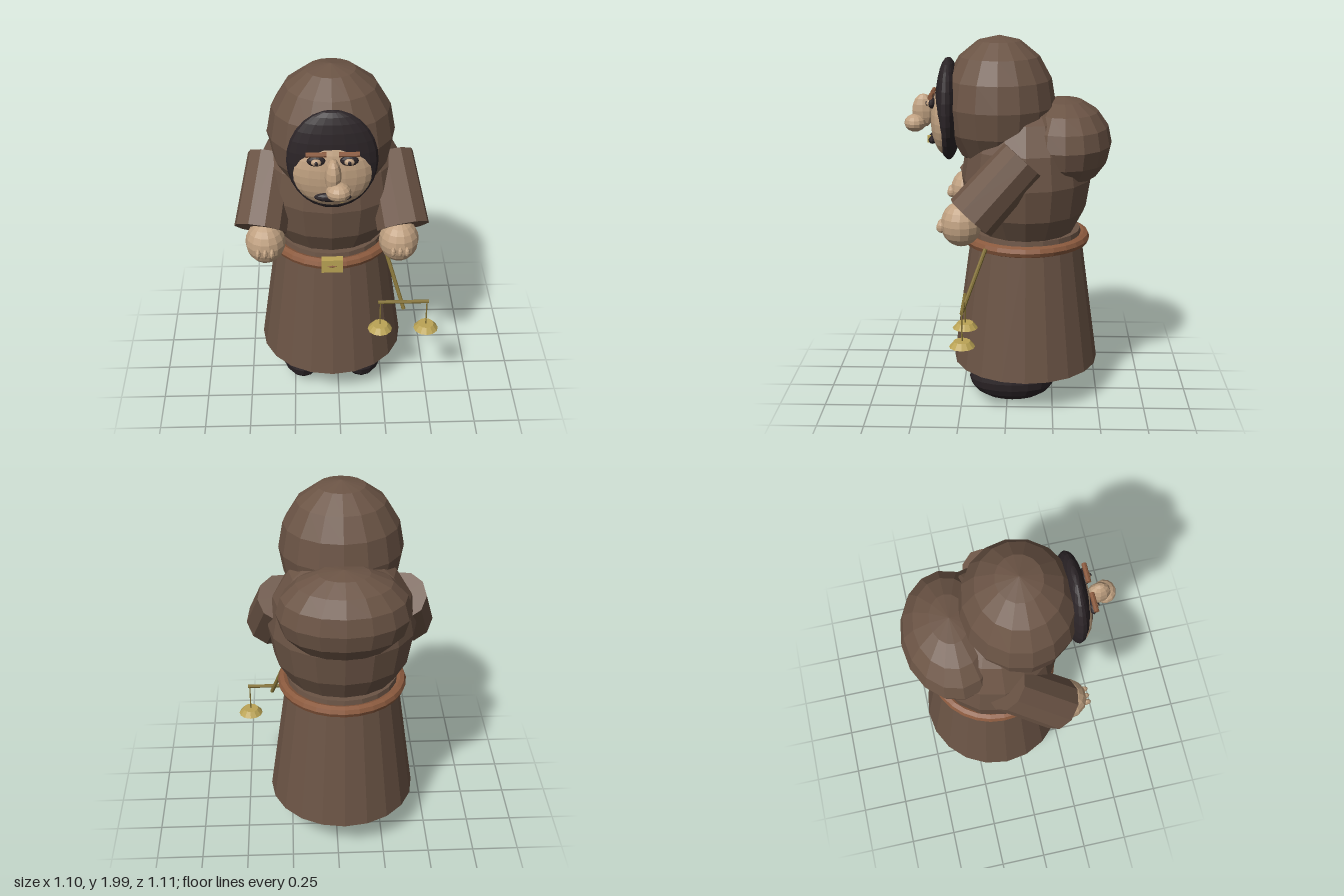
import * as THREE from 'three';

const mat = (name, color) => {
  const m = new THREE.MeshStandardMaterial({ color, flatShading: true });
  m.name = name;
  return m;
};

export function createModel() {
  const root = new THREE.Group();
  root.name = 'hoodedFigure';
  const cloth = mat('brown cloth', 0x6b5445);
  const skin = mat('skin', 0xc0a181);
  const black = mat('soft black', 0x2b2427);
  const leather = mat('leather', 0x8b5a3e);
  const gold = mat('gold', 0xbba455);
  const bronze = mat('dark gold', 0x857338);
  const CX = -0.035; // body axis

  const add = (name, geo, material, x, y, z) => {
    const m = new THREE.Mesh(geo, material);
    m.name = name;
    m.position.set(x, y, z);
    root.add(m);
    return m;
  };
  // Ellipsoid with centre and radii
  const blob = (name, material, [x, y, z], [rx, ry, rz], w = 16, h = 8) =>
    add(name, new THREE.SphereGeometry(1, w, h).scale(rx, ry, rz), material, x, y, z);
  // Straight rod from a to b, radius ra at a and rb at b
  const rod = (name, material, a, b, ra, rb = ra, sides = 8) => {
    const p = new THREE.Vector3(...a), q = new THREE.Vector3(...b);
    const d = q.clone().sub(p);
    const mid = p.clone().add(q).multiplyScalar(0.5);
    const m = add(name, new THREE.CylinderGeometry(rb, ra, d.length(), sides), material, mid.x, mid.y, mid.z);
    m.quaternion.setFromUnitVectors(new THREE.Vector3(0, 1, 0), d.normalize());
    return m;
  };

  // Robe, torso, hump and hood
  add('skirt', new THREE.CylinderGeometry(0.295, 0.4, 0.76, 20), cloth, CX, 0.58, -0.1);
  blob('torso', cloth, [CX, 1.25, -0.1], [0.39, 0.45, 0.35]);
  blob('hump', cloth, [CX, 1.435, -0.3], [0.345, 0.24, 0.255]);
  blob('hood', cloth, [CX, 1.635, 0.045], [0.325, 0.365, 0.3]);

  // Belt and buckle
  add('belt', new THREE.TorusGeometry(0.316, 0.031, 8, 28).rotateX(Math.PI / 2), leather, CX, 0.91, -0.1);
  add('buckle', new THREE.BoxGeometry(0.115, 0.078, 0.04), gold, CX, 0.91, 0.224);

  // Head
  blob('hoodLining', black, [CX, 1.61, 0.315], [0.226, 0.273, 0.07], 20, 14);
  blob('face', skin, [CX, 1.555, 0.33], [0.2, 0.19, 0.08], 20, 14);
  blob('noseBridge', skin, [CX, 1.6, 0.45], [0.041, 0.09, 0.062], 10, 8);
  blob('noseTip', skin, [-0.01, 1.537, 0.493], [0.062, 0.047, 0.058], 12, 8);
  blob('mouth', black, [CX, 1.45, 0.4], [0.093, 0.026, 0.026], 12, 8);
  add('tooth', new THREE.BoxGeometry(0.024, 0.036, 0.02), gold, 0.005, 1.453, 0.417);

  for (const s of [-1, 1]) {
    const side = s > 0 ? 'left' : 'right';
    const x = (d) => CX + s * d;

    // Eye and brow
    rod(side + 'Brow', leather, [x(0.08) - 0.05, 1.69, 0.402], [x(0.08) + 0.05, 1.69, 0.402], 0.013);
    blob(side + 'EyeSocket', black, [x(0.08), 1.652, 0.395], [0.046, 0.028, 0.02], 12, 8);
    blob(side + 'Eyeball', skin, [x(0.08), 1.652, 0.407], [0.027, 0.019, 0.02], 10, 8);
    blob(side + 'Pupil', black, [x(0.08), 1.652, 0.423], [0.01, 0.012, 0.008], 8, 6);

    // Sleeve, hand and fingers
    rod(side + 'Sleeve', cloth, [x(0.31), 1.405, -0.085], [x(0.375), 1.115, 0.18], 0.13, 0.14, 10);
    blob(side + 'Hand', skin, [x(0.348), 1.075, 0.232], [0.105, 0.118, 0.107], 14, 10);
    for (const f of [-1, 0, 1])
      blob(side + 'Finger', skin, [x(0.348) + f * 0.036, 1.063, 0.332], [0.014, 0.028, 0.026], 8, 6);

    // Boot
    blob(side + 'Boot', black, [x(0.167), 0.14, -0.028], [0.13, 0.132, 0.235], 16, 10);
  }

  // Hanging balance
  const BZ = 0.223;
  rod('balanceHandle', bronze, [0.255, 0.92, 0.11], [0.355, 0.605, 0.23], 0.011);
  rod('balanceBeam', bronze, [0.215, 0.648, BZ], [0.492, 0.648, BZ], 0.01);
  for (const px of [0.228, 0.483]) {
    rod('panCord', bronze, [px, 0.49, BZ], [px, 0.648, BZ], 0.004, 0.004, 6);
    add('balancePan', new THREE.CylinderGeometry(0.043, 0.068, 0.03, 12), gold, px, 0.48, BZ);
  }
  return root;
}
